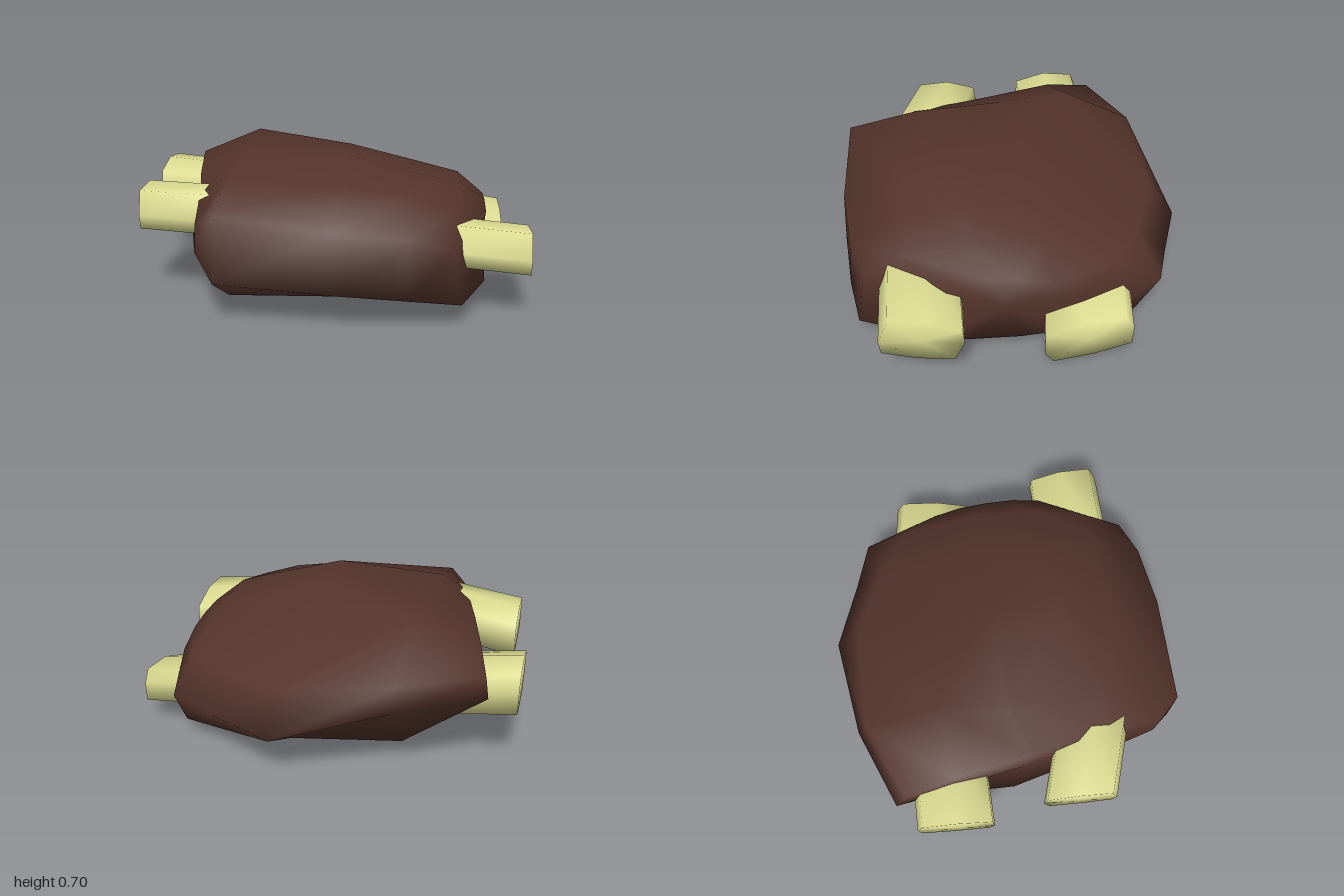
import * as THREE from 'three';

// Skins rings of points (listed from -x to +x, each running front, top, back, bottom) and caps both ends.
function loft(rings) {
  const n = rings[0].length, pos = [], index = [];
  rings.forEach(r => r.forEach(p => pos.push(...p)));
  for (let i = 0; i < rings.length - 1; i++) {
    for (let j = 0; j < n; j++) {
      const a = i * n + j, b = i * n + (j + 1) % n, c = a + n, d = b + n;
      index.push(a, c, d, a, d, b);
    }
  }
  [0, rings.length - 1].forEach((i, end) => {
    const centre = pos.length / 3;
    pos.push(...[0, 1, 2].map(k => rings[i].reduce((s, p) => s + p[k], 0) / n));
    for (let j = 0; j < n; j++) {
      const a = i * n + j, b = i * n + (j + 1) % n;
      if (end) index.push(centre, b, a); else index.push(centre, a, b);
    }
  });
  const geo = new THREE.BufferGeometry();
  geo.setAttribute('position', new THREE.Float32BufferAttribute(pos, 3));
  geo.setIndex(index);
  geo.computeVertexNormals();
  return geo;
}

// Body cross-sections: x, then [z, y] points with an optional x of their own
const SECTIONS = [
  [-0.74, [[.76, .31, -.57], [.78, .46, -.555], [.5, .53, -.6], [.1, .54, -.7], [-.3, .57, -.78], [-.55, .52, -.84],
    [-.6, .44, -.86], [-.4, .3, -.8], [0, .27, -.79], [.45, .25, -.66]]],
  [-0.46, [[.88, .2], [.87, .52], [.5, .61], [0, .65], [-.35, .7], [-.73, .51], [-.78, .4], [-.55, .12], [0, .02], [.55, .02]]],
  [0.1, [[.89, .17], [.87, .45], [.6, .6], [.32, .7], [0, .69], [-.76, .43], [-.9, .23], [-.58, .06], [0, .03], [.55, .04]]],
  [0.43, [[.845, .14], [.82, .42], [.55, .56], [.3, .61], [-.05, .6], [-.62, .41], [-.78, .25], [-.52, 0], [0, .03], [.55, .05]]],
  [0.67, [[.79, .11], [.75, .36, .63], [.55, .49, .64], [.25, .55], [-.1, .53], [-.48, .4], [-.7, .28], [-.58, .08], [0, .05], [.55, .07]]],
  [0.8, [[.4, .09], [.4, .34, .78], [.3, .42], [.15, .45], [0, .44], [-.15, .41], [-.3, .34], [-.28, .1], [0, .07], [.25, .07]]],
];

// Flattened eight-sided stub outline, [z, y] in half-sizes
const STUB = [[1, -.3], [.88, .75], [0, 1], [-.88, .75], [-1, .1], [-.88, -.8], [0, -.95], [.88, -.85]];

// Stub from one centre to another (smaller x first); roll tilts its outline about x
function stubGeometry(from, to, halfZ, halfY, roll) {
  const ring = ([x, y, z]) => STUB.map(([w, h]) => {
    const u = w * halfZ, v = h * halfY;
    return [x, y + v * Math.cos(roll) + u * Math.sin(roll), z + u * Math.cos(roll) - v * Math.sin(roll)];
  });
  return loft([ring(from), ring(to)]);
}

export function createModel() {
  const hide = new THREE.MeshStandardMaterial({ color: 0x54342b });
  hide.name = 'dark brown';
  const bone = new THREE.MeshStandardMaterial({ color: 0xdcdc92 });
  bone.name = 'pale yellow';

  const group = new THREE.Group();
  group.name = 'bodyWithStubs';
  const add = (name, geo, mat) => {
    const mesh = new THREE.Mesh(geo, mat);
    mesh.name = name;
    group.add(mesh);
  };

  // Lumpy body
  add('body', loft(SECTIONS.map(([x, pts]) => pts.map(([z, y, ownX = x]) => [ownX, y, z]))), hide);

  // Four stubs sticking out of the sides
  add('frontLeftStub', stubGeometry([.5, .325, .48], [.99, .28, .47], .195, .12, .22), bone);
  add('backLeftStub', stubGeometry([.5, .22, -.35], [.93, .16, -.31], .22, .11, -.24), bone);
  add('frontRightStub', stubGeometry([-.915, .42, .32], [-.5, .435, .44], .185, .12, .1), bone);
  add('backRightStub', stubGeometry([-.99, .405, -.31], [-.5, .35, -.33], .195, .13, -.1), bone);

  return group;
}
